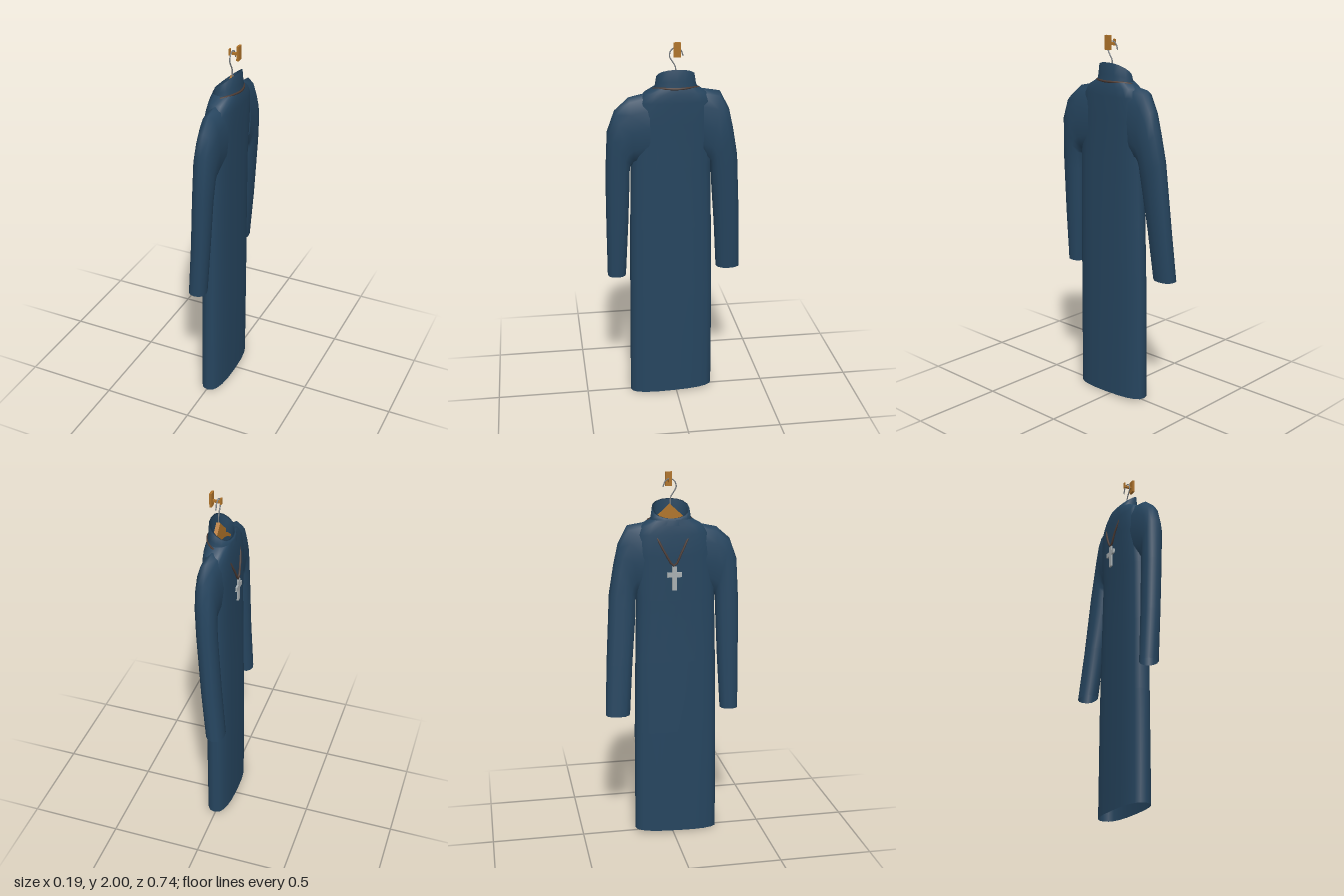
import * as THREE from 'three';

const mat = (name, color, side = THREE.FrontSide) => {
  const m = new THREE.MeshStandardMaterial({ color, side });
  m.name = name;
  return m;
};

// Skins a list of closed rings (each with the same number of points).
function loft(rings) {
  const n = rings[0].length, index = [];
  for (let i = 0; i < rings.length - 1; i++) {
    for (let j = 0; j < n; j++) {
      const a = i * n + j, b = i * n + (j + 1) % n;
      index.push(a, a + n, b, b, a + n, b + n);
    }
  }
  const g = new THREE.BufferGeometry();
  g.setAttribute('position', new THREE.Float32BufferAttribute(rings.flat(2), 3));
  g.setIndex(index);
  g.computeVertexNormals();
  return g;
}

// Rounded outline: cos and sin pushed towards a box by the exponent.
function outline(sides, power, fn) {
  const round = v => Math.sign(v) * Math.pow(Math.abs(v), 2 / power);
  return Array.from({ length: sides }, (_, j) => {
    const a = j / sides * Math.PI * 2;
    return fn(round(Math.cos(a)), round(Math.sin(a)));
  });
}

export function createModel() {
  const group = new THREE.Group();
  const cloth = mat('blue cloth', 0x26455f, THREE.DoubleSide);
  const cordMat = mat('brown cord', 0x4a3a34);
  const silver = mat('silver', 0xa9b0b2);
  const wood = mat('wood', 0xb0742a);
  const steel = mat('steel', 0x7b8084);

  const add = (name, geo, material, parent = group) => {
    const m = new THREE.Mesh(geo, material);
    m.name = name;
    parent.add(m);
    return m;
  };
  const box = (name, material, size, pos, parent) =>
    add(name, new THREE.BoxGeometry(...size), material, parent).position.set(...pos);
  const tube = (name, material, pts, r, closed, parent) => add(name, new THREE.TubeGeometry(
    new THREE.CatmullRomCurve3(pts.map(p => new THREE.Vector3(...p)), closed), 40, r, 6, closed), material, parent);

  // Robe body: height, z range, x range; the hem is slightly slanted
  const sections = [
    [0.0, -0.205, 0.255, -0.066, 0.072],
    [0.6, -0.203, 0.25, -0.062, 0.074],
    [1.0, -0.195, 0.245, -0.056, 0.076],
    [1.34, -0.187, 0.237, -0.052, 0.08],
    [1.58, -0.2, 0.225, -0.06, 0.086],
    [1.69, -0.19, 0.2, -0.056, 0.09],
    [1.735, -0.16, 0.165, -0.05, 0.088],
    [1.765, -0.112, 0.112, -0.046, 0.082],
  ];
  add('robeBody', loft(sections.map(([y, z0, z1, x0, x1]) => outline(20, 2.6, (c, s) => {
    const z = (z0 + z1) / 2 + s * (z1 - z0) / 2;
    const hem = y === 0 ? 0.011 - z * 0.033 : 0;
    return [(x0 + x1) / 2 + c * (x1 - x0) / 2, y + hem, z];
  }))), cloth);

  // Collar: rises at the back, folds over and drops inside
  const collarRing = (rx, rz, front, back) => outline(16, 2.2, (c, s) =>
    [0.016 + c * rx, front + (back - front) * (c + 1) / 2, s * rz]);
  add('collar', loft([
    collarRing(0.068, 0.114, 1.735, 1.76),
    collarRing(0.064, 0.106, 1.76, 1.8),
    collarRing(0.06, 0.1, 1.772, 1.862),
    collarRing(0.051, 0.088, 1.772, 1.858),
    collarRing(0.052, 0.09, 1.72, 1.75),
  ]), cloth);

  // Sleeves: outer z, y, inner z, y, x centre, x half depth
  const leftSleeve = [
    [0.14, 1.738, 0.14, 1.38, 0.02, 0.062],
    [0.245, 1.715, 0.22, 1.36, 0.022, 0.06],
    [0.32, 1.65, 0.235, 1.35, 0.028, 0.055],
    [0.36, 1.54, 0.243, 1.34, 0.026, 0.053],
    [0.372, 1.3, 0.245, 1.25, 0.017, 0.05],
    [0.372, 1.0, 0.255, 1.0, 0.005, 0.048],
    [0.37, 0.715, 0.27, 0.715, -0.011, 0.048],
  ];
  const rightSleeve = [
    [-0.14, 1.75, -0.14, 1.38, 0.02, 0.062],
    [-0.23, 1.735, -0.175, 1.36, 0.022, 0.06],
    [-0.28, 1.64, -0.185, 1.35, 0.024, 0.056],
    [-0.305, 1.53, -0.188, 1.33, 0.02, 0.055],
    [-0.332, 1.38, -0.192, 1.25, 0.01, 0.052],
    [-0.355, 1.0, -0.215, 1.0, -0.018, 0.05],
    [-0.367, 0.72, -0.235, 0.72, -0.046, 0.05],
  ];
  const sleeve = (name, rows, dir) => add(name, loft(rows.map(([oz, oy, iz, iy, cx, d]) =>
    outline(12, 2.2, (c, s) => {
      const t = (1 + s * dir) / 2;
      return [cx + c * d, iy + (oy - iy) * t, iz + (oz - iz) * t];
    }))), cloth);
  sleeve('backwardSleeve', rightSleeve, 1);
  sleeve('forwardSleeve', leftSleeve, -1);

  // Necklace: cord round the collar, falling to a cross on the chest
  const necklace = new THREE.Group();
  necklace.name = 'necklace';
  group.add(necklace);
  const side = [[0.07, 1.765, 0.07], [0.03, 1.758, 0.118], [-0.01, 1.735, 0.115],
    [-0.045, 1.68, 0.085], [-0.063, 1.6, 0.045]];
  tube('cord', cordMat, [[0.088, 1.765, 0], ...side, [-0.067, 1.53, 0.004],
    ...side.map(([x, y, z]) => [x, y, -z]).reverse()], 0.006, true, necklace);
  box('crossUpright', silver, [0.01, 0.125, 0.026], [-0.068, 1.462, 0.005], necklace);
  box('crossArms', silver, [0.01, 0.026, 0.078], [-0.068, 1.482, 0.005], necklace);

  // Hanger: arched wooden bar inside the shoulders, with a wire hook
  const bar = new THREE.Shape();
  bar.moveTo(-0.17, 1.685);
  bar.quadraticCurveTo(-0.05, 1.79, 0, 1.838);
  bar.quadraticCurveTo(0.05, 1.79, 0.17, 1.685);
  bar.lineTo(0.165, 1.665);
  bar.quadraticCurveTo(0, 1.79, -0.165, 1.665);
  const barGeo = new THREE.ExtrudeGeometry(bar, { depth: 0.02, bevelEnabled: false });
  barGeo.rotateY(Math.PI / 2).translate(0.028, 0, 0);
  add('hangerBar', barGeo, wood);
  tube('hangerHook', steel, [[0.038, 1.82, 0.003], [0.038, 1.87, 0.004], [0.038, 1.895, 0.018],
    [0.038, 1.925, 0.034], [0.038, 1.955, 0.025], [0.038, 1.968, 0], [0.038, 1.955, -0.024],
    [0.038, 1.925, -0.036]], 0.0035, false);

  // Wall peg that carries the hanger
  box('wallPlate', wood, [0.012, 0.075, 0.036], [0.072, 1.9625, 0]);
  box('peg', wood, [0.044, 0.012, 0.012], [0.045, 1.955, 0]);
  box('pegTip', wood, [0.008, 0.034, 0.014], [0.023, 1.96, 0]);
  return group;
}
